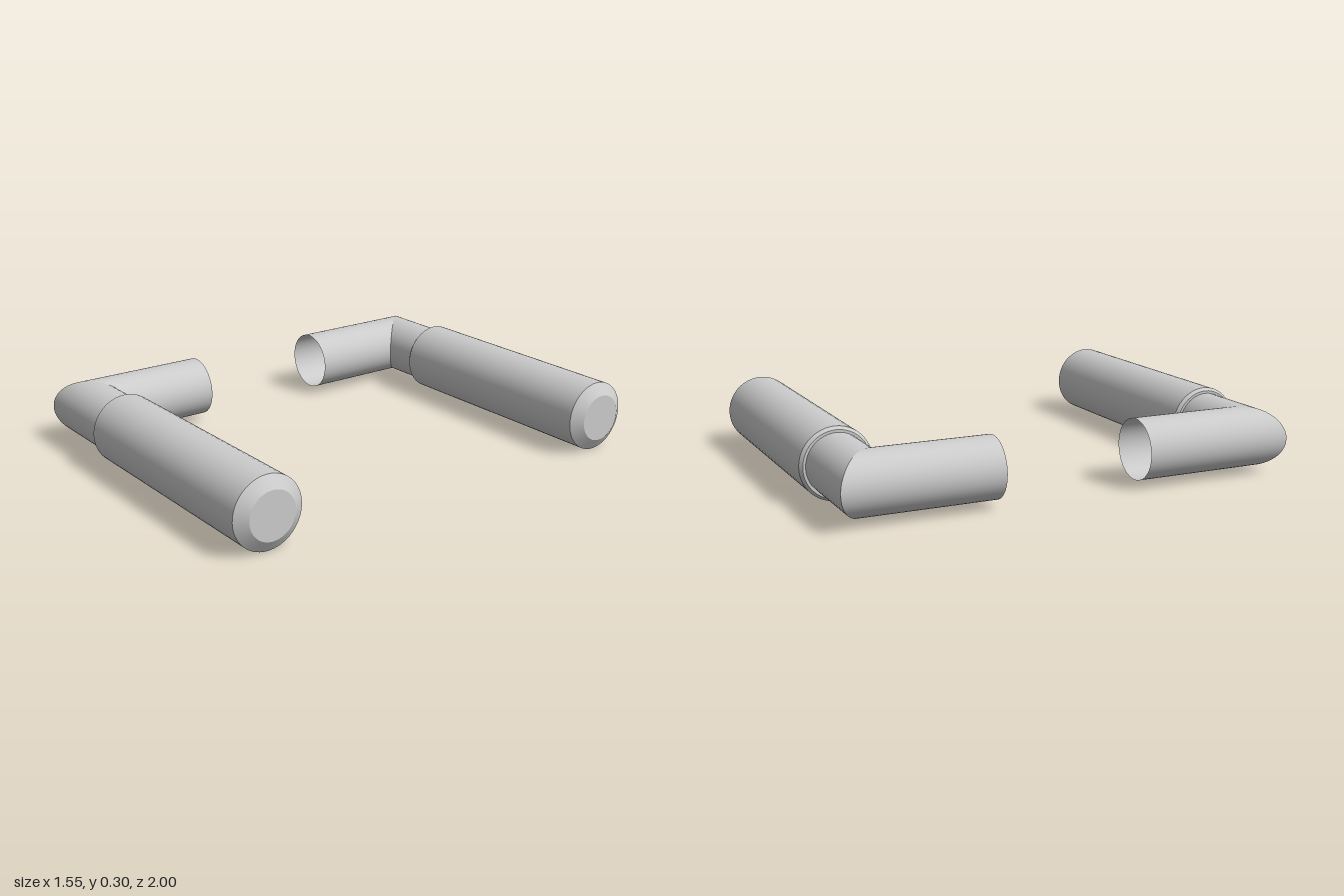
import * as THREE from 'three';

const PIPE_R = 0.127, GRIP_R = 0.15, SIDES = 48;
const material = new THREE.MeshStandardMaterial({ color: 0xcccccc, side: THREE.DoubleSide });

function addMesh(group, name, geometry) {
  const mesh = new THREE.Mesh(geometry, material);
  mesh.name = name;
  group.add(mesh);
}

// Open pipe starting at the elbow, its first ring cut along the 45 degree mitre
function mitredPipe(length, alongX, side) {
  const geo = new THREE.CylinderGeometry(PIPE_R, PIPE_R, length, SIDES, 1, true);
  geo.translate(0, length / 2, 0);
  if (alongX) geo.rotateZ(-Math.PI / 2);
  else geo.rotateX(-side * Math.PI / 2);
  const p = geo.attributes.position;
  for (let i = 0; i < p.count; i++) {
    if (alongX && Math.abs(p.getX(i)) < 1e-4) p.setX(i, -side * p.getZ(i));
    if (!alongX && Math.abs(p.getZ(i)) < 1e-4) p.setZ(i, -side * p.getX(i));
  }
  return geo;
}

// Cone or cylinder section along x, from radius r0 at x0 to radius r1 at x1
function section(x0, r0, x1, r1) {
  const geo = new THREE.CylinderGeometry(r1, r0, x1 - x0, SIDES, 1, true);
  return geo.rotateZ(-Math.PI / 2).translate((x0 + x1) / 2, 0, 0);
}

// One handle; side = 1 has its leg pointing to -z, side = -1 to +z
function handle(side) {
  const g = new THREE.Group();
  addMesh(g, 'legPipe', mitredPipe(0.53, false, side));
  addMesh(g, 'neckPipe', mitredPipe(0.3, true, side));

  // Grip: shoulder ring, small bevel, long barrel, chamfered closed end
  const shoulder = new THREE.RingGeometry(PIPE_R, 0.138, SIDES).rotateY(-Math.PI / 2);
  addMesh(g, 'gripShoulder', shoulder.translate(0.288, 0, 0));
  addMesh(g, 'gripBevel', section(0.288, 0.138, 0.302, GRIP_R));
  addMesh(g, 'gripBarrel', section(0.302, GRIP_R, 1.366, GRIP_R));
  addMesh(g, 'gripChamfer', section(1.366, GRIP_R, 1.4, 0.1));
  const cap = new THREE.CircleGeometry(0.1, SIDES).rotateY(Math.PI / 2);
  addMesh(g, 'gripEnd', cap.translate(1.4, 0, 0));
  return g;
}

export function createModel() {
  const model = new THREE.Group();
  model.name = 'handlePair';
  for (const [name, side, x, z] of [['frontHandle', 1, -0.631, 0.85], ['backHandle', -1, -0.647, -0.84]]) {
    const h = handle(side);
    h.name = name;
    h.position.set(x, 0.152, z);
    h.rotation.y = 0.0095;
    model.add(h);
  }
  return model;
}
